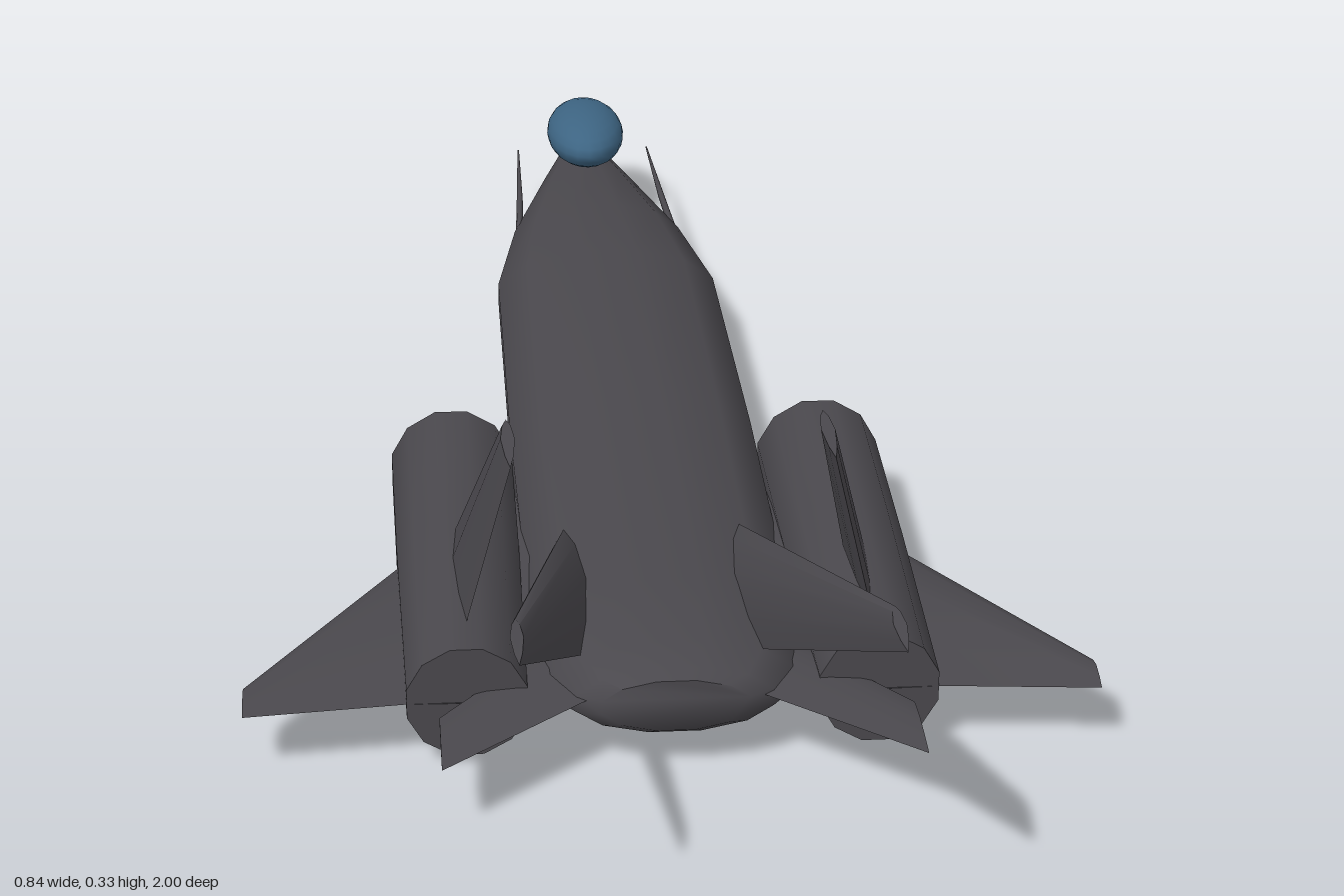
import * as THREE from 'three';
import { toCreasedNormals } from 'three/addons/utils/BufferGeometryUtils.js';

// Skin a list of closed rings of [x, y, z] points, cap both ends and face outward
function loft(rings, crease = 0.75) {
  const n = rings[0].length, pos = rings.flat(2), idx = [];
  for (let r = 0; r < rings.length - 1; r++) {
    for (let i = 0; i < n; i++) {
      const a = r * n + i, b = r * n + (i + 1) % n;
      idx.push(a, b, b + n, a, b + n, a + n);
    }
  }
  const last = (rings.length - 1) * n;
  for (let i = 1; i < n - 1; i++) idx.push(0, i + 1, i, last, last + i, last + i + 1);

  // The signed volume tells whether the corners must be swapped
  const p = (i) => new THREE.Vector3().fromArray(pos, i * 3);
  let volume = 0;
  for (let i = 0; i < idx.length; i += 3) {
    volume += p(idx[i]).dot(p(idx[i + 1]).cross(p(idx[i + 2])));
  }
  if (volume < 0) idx.reverse();

  const geo = new THREE.BufferGeometry();
  geo.setAttribute('position', new THREE.Float32BufferAttribute(pos, 3));
  geo.setIndex(idx);
  return toCreasedNormals(geo, crease);
}

// Twelve-sided elliptical ring with a flat top and bottom
function ellipse(cx, cy, z, rx, ry) {
  return Array.from({ length: 12 }, (_, i) => {
    const a = (i + 0.5) * Math.PI / 6;
    return [cx + Math.cos(a) * rx, cy + Math.sin(a) * ry, z];
  });
}

// Lens-shaped blade section from z0 to z1; thick along x for fins, y for wings
const LENS = [[0, 0], [0.12, 0.6], [0.4, 1], [0.75, 0.6], [1, 0], [0.75, -0.6], [0.4, -1], [0.12, -0.6]];
function section(x, y, z0, z1, half, axis) {
  return LENS.map(([t, h]) => [
    x + (axis === 'x' ? h * half : 0),
    y + (axis === 'y' ? h * half : 0),
    z0 + (z1 - z0) * t,
  ]);
}

export function createModel() {
  const hull = new THREE.MeshStandardMaterial({ color: 0x4a484d });
  hull.name = 'charcoal skin';
  const glass = new THREE.MeshStandardMaterial({ color: 0x3d6482 });
  glass.name = 'blue glass';

  const model = new THREE.Group();
  model.name = 'jetAircraft';
  const add = (name, geo, mat = hull) => {
    const mesh = new THREE.Mesh(geo, mat);
    mesh.name = name;
    model.add(mesh);
    return mesh;
  };

  // Fuselage: z, half width, half height, centre height
  const stations = [
    [-1, 0.001, 0.001, 0.065], [-0.94, 0.02, 0.011, 0.066], [-0.8, 0.057, 0.026, 0.067],
    [-0.6, 0.107, 0.045, 0.069], [-0.42, 0.136, 0.056, 0.07], [0, 0.14, 0.056, 0.07],
    [0.45, 0.138, 0.055, 0.07], [0.57, 0.125, 0.047, 0.072], [0.61, 0.1, 0.036, 0.074],
    [0.625, 0.075, 0.028, 0.076],
  ];
  add('fuselage', loft(stations.map(([z, rx, ry, y]) => ellipse(0, y, z, rx, ry)), 1.1));

  // Canopy
  const canopy = add('canopy', new THREE.SphereGeometry(1, 20, 12), glass);
  canopy.scale.set(0.05, 0.034, 0.096);
  canopy.position.set(0, 0.124, -0.836);

  for (const s of [1, -1]) {
    const side = s > 0 ? 'left' : 'right';

    // Engine nacelle with its intake spike
    add(side + 'Nacelle', loft([
      ellipse(s * 0.202, 0.071, 0.065, 0.068, 0.07),
      ellipse(s * 0.202, 0.071, 0.3, 0.066, 0.067),
      ellipse(s * 0.202, 0.071, 0.595, 0.061, 0.06),
    ]));
    const spike = [[-0.045, 0.004], [-0.035, 0.012], [-0.01, 0.021], [0.03, 0.026], [0.08, 0.028]];
    add(side + 'IntakeSpike', loft(spike.map(([z, r]) => ellipse(s * 0.202, 0.071, z, r, r)), 1.1));

    // Main wing, running through the nacelle to the fuselage
    add(side + 'Wing', loft([
      section(s * 0.1, 0.071, 0.1, 0.6, 0.018, 'y'),
      section(s * 0.262, 0.071, 0.3, 0.595, 0.014, 'y'),
      section(s * 0.42, 0.071, 0.555, 0.61, 0.008, 'y'),
    ]));

    // Small swept tailplane
    add(side + 'Tailplane', loft([
      section(s * 0.08, 0.08, 0.45, 0.61, 0.006, 'y'),
      section(s * 0.23, 0.08, 0.64, 0.74, 0.004, 'y'),
    ]));

    // Inward-leaning fin on the nacelle
    add(side + 'NacelleFin', loft([
      section(s * 0.203, 0.115, 0.3, 0.535, 0.011, 'x'),
      section(s * 0.156, 0.315, 0.47, 0.58, 0.007, 'x'),
    ]));

    // Long outward-leaning tail fin
    add(side + 'TailFin', loft([
      section(s * 0.09, 0.105, 0.29, 0.57, 0.018, 'x'),
      section(s * 0.166, 0.331, 0.915, 1, 0.006, 'x'),
    ]));

    // Thin strake beside the nose
    add(side + 'NoseStrake', loft([
      ellipse(s * 0.086, 0.076, -0.9, 0.001, 0.001),
      ellipse(s * 0.092, 0.076, -0.72, 0.004, 0.004),
      ellipse(s * 0.1, 0.076, -0.55, 0.005, 0.006),
    ]));
  }
  return model;
}
